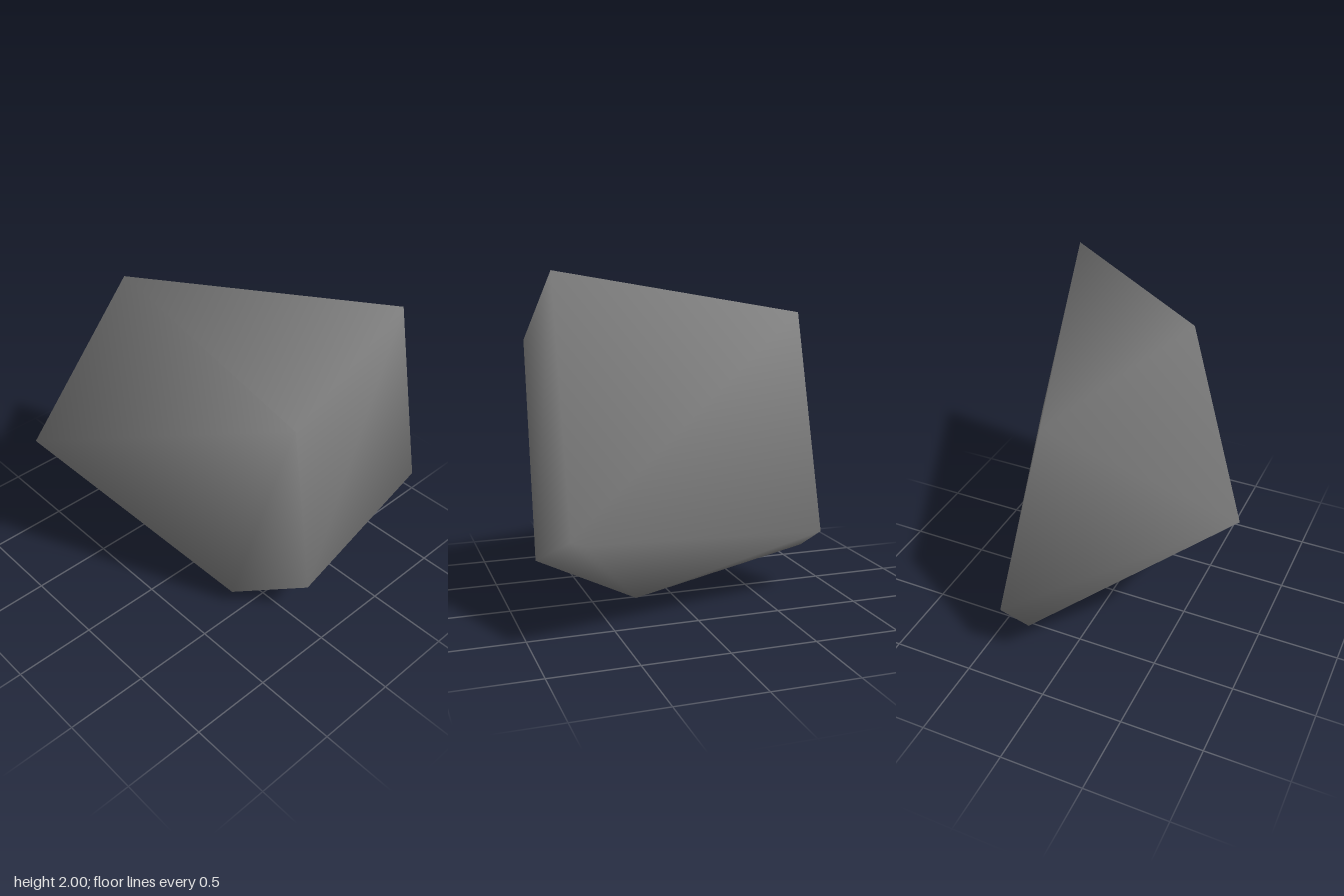
import * as THREE from 'three';
import { ConvexGeometry } from 'three/addons/geometries/ConvexGeometry.js';
import { mergeVertices } from 'three/addons/utils/BufferGeometryUtils.js';

// Corners of the rock chunk
const corners = [
  // sloping top
  [-0.81, 1.72, -0.04], [0.845, 2.0, -0.61], [0.845, 1.58, 0.18], [-0.44, 1.18, 0.935],
  // low back edge
  [-0.85, 0.41, -0.34], [0.77, 0.64, -0.918], [0.845, 0.67, -0.94],
  // underside
  [-0.79, 0.29, -0.19], [0.23, 0, -0.02], [0.45, 0.13, 0.225], [0.845, 0.3, -0.02],
];

export function createModel() {
  const stone = new THREE.MeshStandardMaterial({ color: 0x808080 });
  stone.name = 'stoneGrey';

  // Convex hull with shared corners, so the shading runs smoothly across the facets
  let geometry = new ConvexGeometry(corners.map((c) => new THREE.Vector3(...c)));
  geometry.deleteAttribute('normal');
  geometry = mergeVertices(geometry);
  geometry.computeVertexNormals();

  const rock = new THREE.Mesh(geometry, stone);
  rock.name = 'rockChunk';

  const group = new THREE.Group();
  group.name = 'rock';
  group.add(rock);
  return group;
}
